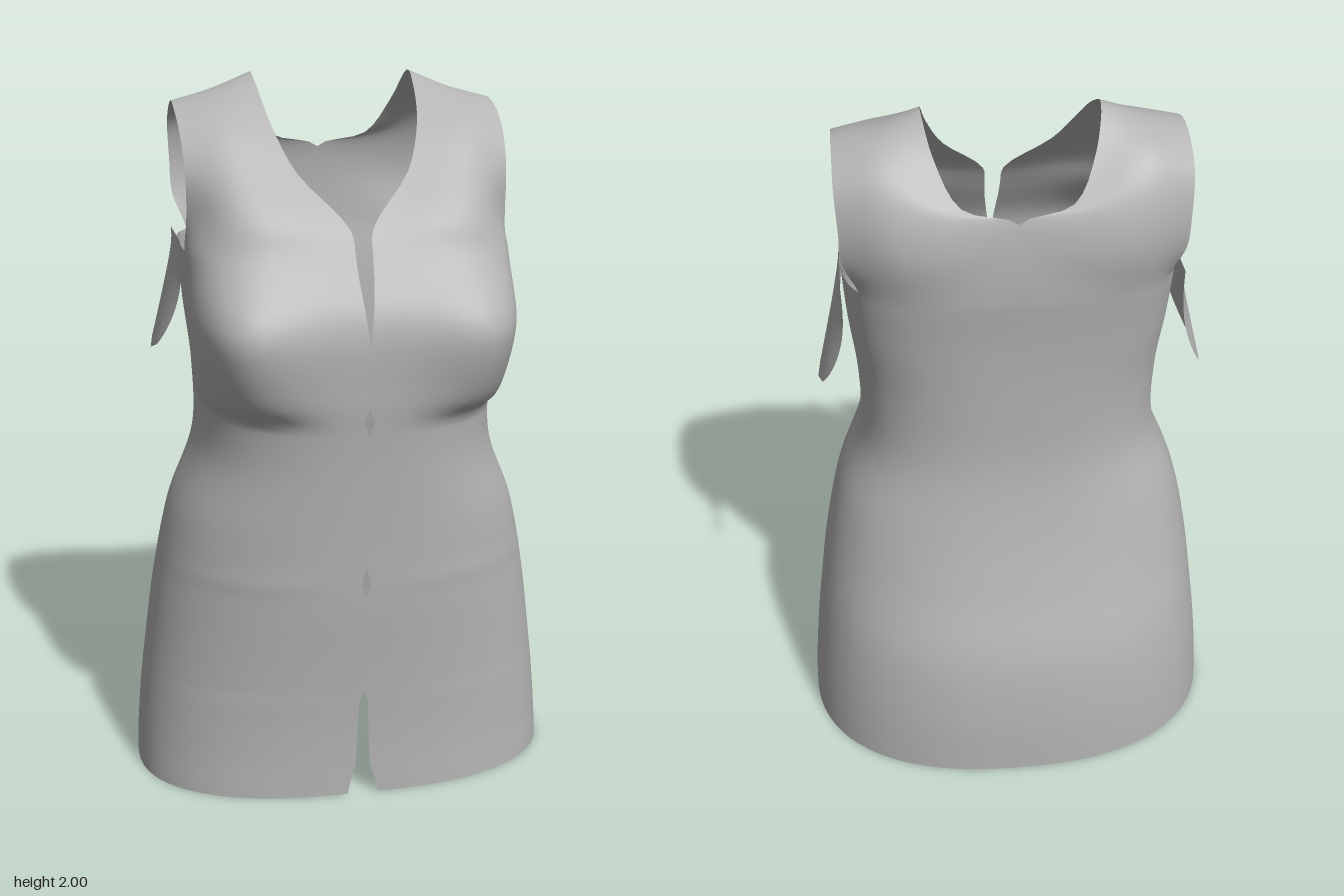
import * as THREE from 'three';
import { mergeGeometries, mergeVertices } from 'three/addons/utils/BufferGeometryUtils.js';

const V = (x, y, z) => new THREE.Vector3(x, y, z);
const { lerp, smoothstep, clamp } = THREE.MathUtils;

// Smooth lookup in values spaced evenly from y = 0 to y = 1.6
const profile = (values) => {
  const curve = new THREE.SplineCurve(values.map((v, i) => new THREE.Vector2(i, v)));
  return (y) => curve.getPoint(y / 1.6).y;
};
const halfWidth = profile([0.615, 0.6, 0.575, 0.545, 0.5, 0.425, 0.42, 0.44, 0.45]);
const frontDepth = profile([0.37, 0.372, 0.385, 0.402, 0.412, 0.425, 0.44, 0.435, 0.345]);
const backDepth = profile([0.47, 0.465, 0.44, 0.38, 0.33, 0.3, 0.3, 0.31, 0.33]);
const squareness = profile([0.85, 0.85, 0.85, 0.85, 0.82, 0.8, 0.78, 0.68, 0.6]);

// Half width of the front placket opening: hem slit, two gaps, neck slit
const GAPS = [[0, 0.045], [0.1, 0.02], [0.3, 0.012], [0.32, 0], [0.62, 0], [0.66, 0.016], [0.7, 0],
  [1.1, 0], [1.13, 0.018], [1.16, 0], [1.33, 0], [1.5, 0.02], [1.6, 0.025]];
function gap(y) {
  const i = Math.max(1, GAPS.findIndex((g) => g[0] >= y));
  const [a, b] = [GAPS[i - 1], GAPS[i]];
  return lerp(a[1], b[1], clamp((y - a[0]) / (b[0] - a[0]), 0, 1));
}

// Columns: 0-20 front panel, 20-28 under the armhole, 28-48 back panel
const PANEL = 20, UNDER = 8, COLS = 2 * PANEL + UNDER, TOP = 1.55;
function columnAngle(i) {
  if (i <= PANEL) return Math.PI * lerp(0, 0.44, i / PANEL);
  if (i <= PANEL + UNDER) return Math.PI * lerp(0.44, 0.68, (i - PANEL) / UNDER);
  return Math.PI * lerp(0.68, 1, (i - PANEL - UNDER) / PANEL);
}

// Point on the left half of the body tube
function bodyPoint(i, y) {
  const a = columnAngle(i), p = squareness(y), w = halfWidth(y), g = gap(y);
  const s = i === COLS ? 0 : Math.pow(Math.max(0, Math.sin(a)), p), c = Math.cos(a);
  let x = w * s;
  let z = Math.sign(c) * Math.pow(Math.abs(c), p) * (c > 0 ? frontDepth(y) : backDepth(y));
  // bust: round and steep below, fading out above
  const d = y - 1.33;
  const rise = d < 0 ? Math.sqrt(Math.max(0, 1 - (d / 0.2) ** 2)) : Math.exp(-((d / 0.17) ** 2));
  const bump = 0.095 * rise * Math.exp(-(((x - 0.34) / 0.16) ** 2)) * smoothstep(z, -0.02, 0.2);
  x += bump * 0.3;
  z += bump;
  if (c > 0) x += g * (1 - s);
  return V(x, y, z);
}

// Strap cross rows as [neck edge, middle, armhole edge]
const FRONT_ROWS = [
  [V(0.03, 1.62, 0.325), V(0.32, 1.64, 0.3), V(0.44, 1.64, 0.155)],
  [V(0.15, 1.755, 0.21), V(0.32, 1.76, 0.21), V(0.44, 1.75, 0.155)],
  [V(0.2, 1.87, 0.1), V(0.33, 1.865, 0.115), V(0.445, 1.85, 0.095)],
  [V(0.22, 1.965, -0.03), V(0.335, 1.935, -0.01), V(0.45, 1.91, -0.01)],
];
const CREST = [V(0.225, 2.0, -0.13), V(0.335, 1.957, -0.12), V(0.45, 1.926, -0.1)];
const BACK_ROWS = [
  [V(0, 1.68, -0.325), V(0.29, 1.67, -0.325), V(0.44, 1.65, -0.255)],
  [V(0, 1.77, -0.315), V(0.31, 1.77, -0.315), V(0.445, 1.75, -0.265)],
  [V(0.14, 1.81, -0.295), V(0.32, 1.86, -0.28), V(0.45, 1.85, -0.24)],
  [V(0.2, 1.91, -0.225), V(0.33, 1.925, -0.215), V(0.45, 1.9, -0.185)],
];

// One lengthwise strip of a strap, from chest or back up to the shoulder crest
function strapCurve(i, rows, otherRows) {
  const t = i <= PANEL ? i / PANEL : (COLS - i) / PANEL;
  const across = (row) => new THREE.CatmullRomCurve3(row).getPoint(t);
  const keys = [...rows, CREST, otherRows[otherRows.length - 1]].map(across);
  const curve = new THREE.CatmullRomCurve3([bodyPoint(i, 1.45), bodyPoint(i, TOP), ...keys]);
  const n = keys.length + 1;
  return (v) => {
    const q = curve.getPoint(lerp(1, n - 1, v) / n);
    q.x = Math.max(0, q.x);
    return q;
  };
}

// Grid surface from point(column, row), mirrored to the other side on request
function grid(cols, rows, point, side = 1) {
  const pos = [], index = [];
  for (let j = 0; j <= rows; j++) {
    for (let i = 0; i <= cols; i++) {
      const p = point(i, j);
      pos.push(p.x * side, p.y, p.z);
    }
  }
  for (let j = 0; j < rows; j++) {
    for (let i = 0; i < cols; i++) {
      const a = j * (cols + 1) + i, b = a + 1, c = a + cols + 1, d = c + 1;
      if (side > 0) index.push(a, b, d, a, d, c);
      else index.push(a, d, b, a, c, d);
    }
  }
  const geo = new THREE.BufferGeometry();
  geo.setAttribute('position', new THREE.Float32BufferAttribute(pos, 3));
  geo.setIndex(index);
  return geo;
}

function smoothMesh(name, parts, material) {
  const geo = mergeVertices(mergeGeometries(parts), 1e-4);
  geo.computeVertexNormals();
  const mesh = new THREE.Mesh(geo, material);
  mesh.name = name;
  return mesh;
}

export function createModel() {
  const group = new THREE.Group();
  group.name = 'sleevelessTop';
  const cloth = new THREE.MeshStandardMaterial({ color: 0xb4b4b4 });
  cloth.name = 'grey cloth';
  cloth.side = THREE.DoubleSide;

  // Body tube with straps, both halves welded into one smooth shell
  const rows = 78, strapRows = 20, parts = [];
  const strips = [];
  for (let i = 0; i <= COLS; i++) {
    if (i <= PANEL) strips[i] = strapCurve(i, FRONT_ROWS, BACK_ROWS);
    else if (i >= PANEL + UNDER) strips[i] = strapCurve(i, BACK_ROWS, FRONT_ROWS);
  }
  for (const side of [1, -1]) {
    parts.push(grid(COLS, rows, (i, j) => bodyPoint(i, (TOP * j) / rows), side));
    for (const start of [0, PANEL + UNDER]) {
      parts.push(grid(PANEL, strapRows, (i, j) => strips[start + i](j / strapRows), side));
    }
  }
  group.add(smoothMesh('garmentBody', parts, cloth));

  // Loose underarm flaps hanging from the armholes
  const flapPoint = (i, j) => {
    const s = 1 - i / 6, k = 1 - j / 14;
    const h = 0.14 * Math.sqrt(Math.max(0, 1 - k ** 4));
    return V(0.45 + 0.078 * k - 0.03 * s * s * Math.sin(Math.PI * k), 1.56 - 0.33 * k, -0.08 - 0.03 * k + s * h);
  };
  for (const side of [1, -1]) {
    const name = side > 0 ? 'leftUnderarmFlap' : 'rightUnderarmFlap';
    group.add(smoothMesh(name, [grid(12, 14, flapPoint, side)], cloth));
  }
  return group;
}
